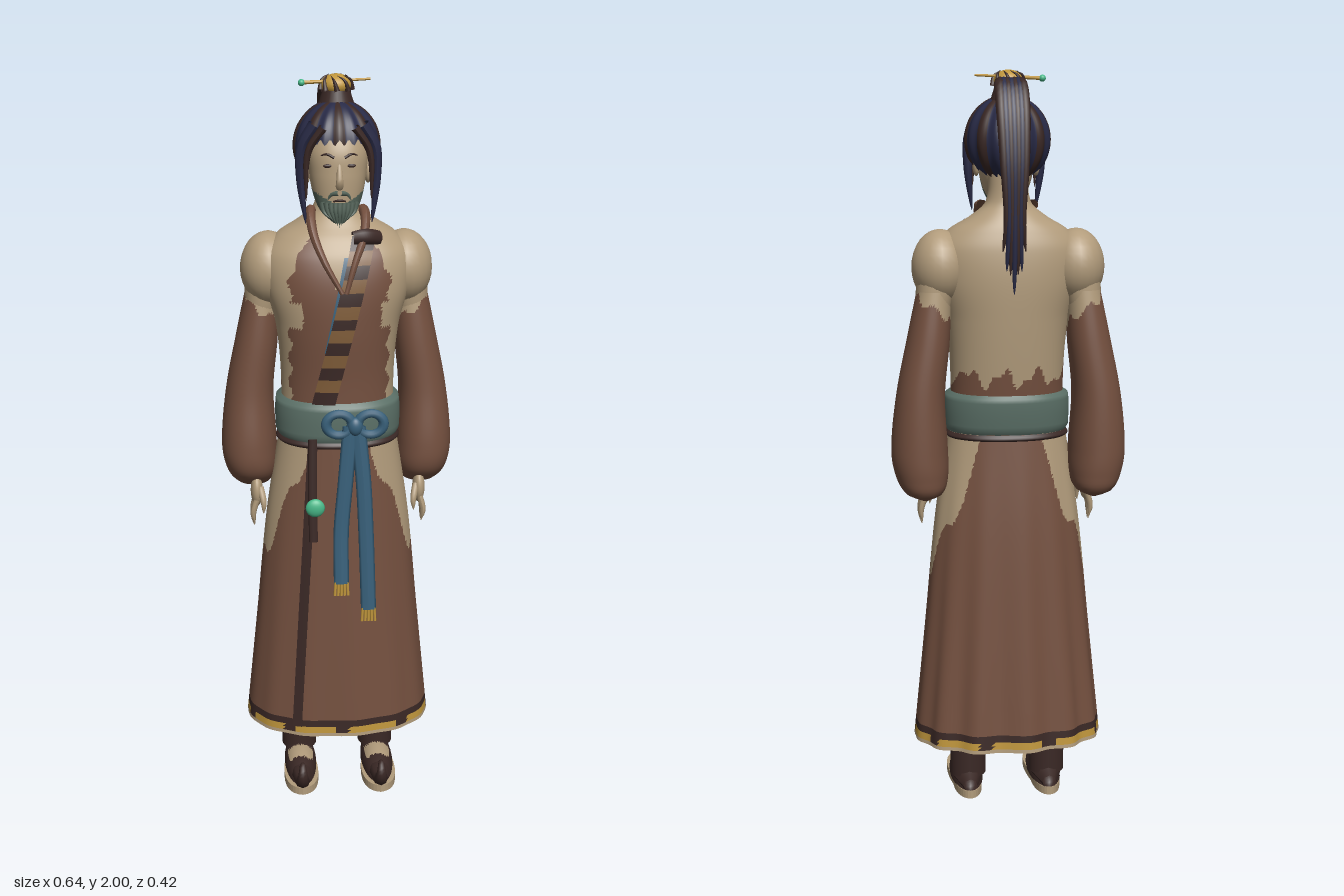
import * as THREE from 'three';

const colours = { robe: 0x74503f, skin: 0xb29c7c, hair: 0x282a46, dark: 0x3a2825, gold: 0xc0963c,
  belt: 0x5c7168, sash: 0x38607a, jade: 0x48b888, beard: 0x55655a, strap: 0x7f5c38 };
const M = {};
const E = 0.9, K = 2 / E; // roundness of every cross-section
const V = (x, y, z) => new THREE.Vector3(x, y, z);
const pw = (c) => Math.sign(c) * Math.abs(c) ** E;

// Smooth lookup in rows of [y, centreX, radiusX, centreZ, radiusZ]
function at(rows, y) {
  let i = 0;
  while (i < rows.length - 2 && y > rows[i + 1][0]) i++;
  const p = rows[i], q = rows[i + 1], h = q[0] - p[0], t = (y - p[0]) / h;
  const slope = (n, k) => {
    const a = rows[Math.max(0, n - 1)], b = rows[Math.min(rows.length - 1, n + 1)];
    return (b[k] - a[k]) / (b[0] - a[0]);
  };
  return [1, 2, 3, 4].map((k) => (1 + 2 * t) * (1 - t) ** 2 * p[k] + t * (1 - t) ** 2 * h * slope(i, k)
    + t * t * (3 - 2 * t) * q[k] + t * t * (t - 1) * h * slope(i + 1, k));
}
const frontZ = (rows, x, y) => {
  const [cx, rx, cz, rz] = at(rows, y);
  return cz + rz * Math.max(0, 1 - Math.abs((x - cx) / rx) ** K) ** (1 / K);
};

// Grid surface f(u, v); paint(centre) names the colour of each cell
function surface(name, f, nu, nv, paint, closed = true) {
  const cols = closed ? nu : nu + 1, pos = [], lists = {};
  for (let j = 0; j <= nv; j++) for (let i = 0; i < cols; i++) pos.push(...f(i / nu, j / nv));
  for (let j = 0; j < nv; j++) for (let i = 0; i < nu; i++) {
    const a = j * cols + i, b = j * cols + (i + 1) % cols, c = a + cols, d = b + cols;
    for (const t of [[a, c, b], [b, c, d]]) {
      const m = [0, 1, 2].map((k) => (pos[t[0] * 3 + k] + pos[t[1] * 3 + k] + pos[t[2] * 3 + k]) / 3);
      const key = typeof paint === 'string' ? paint : paint(...m, (i + 0.5) / nu, (j + 0.5) / nv);
      (lists[key] ??= []).push(...t);
    }
  }
  const g = new THREE.BufferGeometry(), index = [], mats = [];
  for (const key in lists) {
    g.addGroup(index.length, lists[key].length, mats.length);
    for (const n of lists[key]) index.push(n);
    mats.push(M[key]);
  }
  g.setAttribute('position', new THREE.Float32BufferAttribute(pos, 3));
  g.setIndex(index);
  g.computeVertexNormals();
  const mesh = new THREE.Mesh(g, mats);
  mesh.name = name;
  return mesh;
}

function loft(name, rows, nu, nv, paint, side = 1, fold = () => 1) {
  const y0 = rows[0][0], y1 = rows[rows.length - 1][0];
  return surface(name, (u, v) => {
    const y = y0 + (y1 - y0) * v, a = u * Math.PI * 2, [cx, rx, cz, rz] = at(rows, y), k = fold(a, y);
    return [cx * side + rx * pw(Math.cos(a)) * k, y, cz + rz * pw(Math.sin(a)) * k];
  }, nu, nv, paint);
}

// Tube with a radius that changes along its length
function taper(name, pts, radius, mat, seg = 16, flatX = 1) {
  const curve = new THREE.CatmullRomCurve3(pts.map((p) => V(...p)));
  const g = new THREE.TubeGeometry(curve, seg, 1, 8), p = g.attributes.position, v = V(0, 0, 0);
  for (let i = 0; i < p.count; i++) {
    const t = Math.floor(i / 9) / seg, c = curve.getPointAt(t);
    v.fromBufferAttribute(p, i).sub(c).multiplyScalar(radius(t));
    v.x *= flatX;
    p.setXYZ(i, c.x + v.x, c.y + v.y, c.z + v.z);
  }
  g.computeVertexNormals();
  const m = new THREE.Mesh(g, M[mat]);
  m.name = name;
  return m;
}
function ball(name, mat, p, r) {
  const m = new THREE.Mesh(new THREE.SphereGeometry(1, 24, 16), M[mat]);
  m.name = name; m.position.set(...p); m.scale.set(...r);
  return m;
}

const torsoRows = [[1.02, 0, .157, -.005, .115], [1.2, 0, .153, -.015, .125], [1.35, 0, .166, -.018, .135],
  [1.46, 0, .195, -.023, .135], [1.54, 0, .195, -.03, .122], [1.59, 0, .155, -.038, .1], [1.62, 0, .105, -.045, .08],
  [1.66, 0, .06, -.048, .056], [1.76, 0, .052, -.045, .05]];
const skirtRows = [[.17, 0, .262, -.02, .18], [.5, 0, .228, -.016, .157], [.8, 0, .198, -.012, .137], [1.05, 0, .16, -.005, .118]];
const sleeveRows = [[.865, .23, .01, -.08, .02], [.885, .232, .05, -.075, .07], [.93, .237, .071, -.058, .1], [1, .242, .076, -.055, .105],
  [1.15, .238, .065, -.062, .092], [1.3, .216, .057, -.062, .08], [1.43, .2, .045, -.062, .065]];
const headRows = [[1.635, 0, .015, .055, .015], [1.66, 0, .045, .035, .042], [1.7, 0, .064, .012, .066], [1.76, 0, .075, 0, .078],
  [1.82, 0, .078, -.01, .08], [1.9, 0, .05, -.02, .05]];

export function createModel() {
  for (const k in colours) { M[k] = new THREE.MeshStandardMaterial({ color: colours[k], side: THREE.DoubleSide }); M[k].name = k; }
  const model = new THREE.Group();
  model.name = 'robedMan';
  const add = (...m) => model.add(...m);

  // Torso with the worn upper robe
  add(loft('torso', torsoRows, 120, 84, (x, y, z) => {
    const w = Math.abs(x), jag = .02 * Math.sin(x * 70) + .012 * Math.sin(x * 151);
    if (z < -.01) return y < 1.2 + jag ? 'robe' : 'skin';
    if (y > 1.44 + Math.abs(x - .01) * 1.8 || y > 1.63) return 'skin';
    if (w > .145 && y > 1.17 + jag) return 'skin';
    if (w > .105 + jag * .4 && y > 1.36 && y < 1.43) return 'skin';
    return w < .13 - Math.max(0, y - 1.5) * .5 + .006 * Math.sin(y * 90) ? 'robe' : 'skin';
  }));
  // Pleated skirt with bare hips and a trimmed hem
  add(loft('skirt', skirtRows, 144, 90, (x, y, z) => {
    if (y < .178) return 'skin';
    const a = Math.atan2(z + .015, Math.abs(x) * .75);
    if (y < .2) return Math.sin(a * 9 + x * 4) > .75 ? 'dark' : 'gold';
    if (y < .218) return 'dark';
    return y > .66 + .36 * Math.abs(a / 1.05) ** 1.6 + .035 * Math.sin(a * 11) ? 'skin' : 'robe';
  }, 1, (a, y) => 1 + (Math.sin(a) > 0 ? .012 : .04) * Math.min(1, (1.05 - y) * 1.3) * Math.sin(a) * Math.cos(13 * a)));

  // Belt and its cord
  const beltRows = [[1.045, 0, .163, -.005, .121], [1.055, 0, .169, -.006, .127], [1.145, 0, .167, -.011, .132], [1.155, 0, .15, -.012, .122]];
  add(loft('belt', beltRows, 64, 10, 'belt'));
  add(loft('beltCord', [[1.025, 0, .16, -.005, .117], [1.033, 0, .169, -.006, .125], [1.045, 0, .16, -.005, .118]], 64, 6, 'dark'));

  // Thin strips that follow the front of the robe
  const strip = (name, rows, a, b, w, off, paint) => add(surface(name, (u, v) => {
    const y = a[1] + (b[1] - a[1]) * v, x = a[0] + (b[0] - a[0]) * v + (u - .5) * w;
    return [x, y, frontZ(rows, x, y) + off];
  }, 6, 64, paint, false));
  strip('chestStrap', torsoRows, [-.045, 1.155], [.065, 1.6], .062, .01,
    (x, y, z, u, v) => (Math.floor(v * 13) % 2 ? 'strap' : 'dark'));
  strip('strapEdge', torsoRows, [-.035, 1.3], [.018, 1.55], .014, .009, 'sash');
  strip('robeEdge', skirtRows, [-.125, .2], [-.075, 1.03], .026, .006, 'dark');
  add(taper('strapKnot', [[.035, 1.595, .068], [.065, 1.597, .064], [.105, 1.59, .045]], (t) => .018 + .004 * Math.sin(t * 3), 'dark'));

  // Bow with two hanging tails
  for (const x of [-.005, .08]) {
    const loop = new THREE.Mesh(new THREE.TorusGeometry(.03, .012, 10, 28), M.sash);
    loop.name = 'bowLoop'; loop.position.set(x, 1.105, .132); loop.scale.x = 1.15;
    add(loop);
  }
  add(ball('bowKnot', 'sash', [.038, 1.1, .136], [.02, .026, .017]));
  for (const [x0, x1, y1] of [[.025, 0, .65], [.045, .075, .57]]) {
    add(taper('sashTail', [[x0, 1.1, .135], [(x0 + x1) / 2, .95, .141], [x1 * .9, .8, .147], [x1, y1, .158]], () => .007, 'sash', 24, 3));
    for (let i = -2; i <= 2; i++) add(taper('tassel', [[x1 + i * .008, y1 + .005, .158], [x1 + i * .009, y1 - .035, .16]], () => .004, 'gold', 4));
  }
  // Waist pendant
  add(taper('pendantCord', [[-.075, 1.06, .122], [-.077, .9, .134], [-.075, .77, .142]], () => .005, 'dark', 16, 2.4));
  add(ball('pendantBead', 'jade', [-.07, .87, .142], [.026, .026, .014]));

  // Head; the beard is part of the jaw
  add(loft('head', headRows, 64, 48, (x, y, z) =>
    (z > .005 && y < 1.682 + Math.abs(x) * .5 && !(Math.abs(x) < .016 && y > 1.676) ? 'beard' : 'skin')));
  for (let i = -4; i <= 4; i++) {
    const x = i * .011, z = frontZ(headRows, x, 1.685);
    add(taper('beardLock', [[x, 1.69, z], [x * .9, 1.665, z + .006], [x * .45, 1.625 + Math.abs(i) * .006, .082]], (t) => .009 * (1 - t), 'beard', 8));
  }
  add(taper('nose', [[0, 1.795, .068], [0, 1.76, .081], [0, 1.738, .084], [0, 1.732, .074]], (t) => .005 + .006 * t, 'skin', 8));
  add(taper('mouth', [[-.016, 1.694, .074], [0, 1.697, .08], [.016, 1.694, .074]], () => .003, 'dark', 8));

  // Hair cap in alternating locks
  add(surface('hairCap', (u, v) => {
    const a = u * Math.PI * 2, d = Math.abs(Math.atan2(Math.cos(a), Math.sin(a)));
    const end = 1.3 + .13 * Math.sin(d * 14) ** 2 + .68 * THREE.MathUtils.smoothstep(d, .85, 1.3) + .4 * THREE.MathUtils.smoothstep(d, 1.5, 2.3);
    const phi = end * (1 - v), r = Math.sin(phi) * (1 + .025 * Math.cos(16 * a));
    return [.112 * r * Math.cos(a), 1.82 + .117 * Math.cos(phi), -.035 + .115 * r * Math.sin(a)];
  }, 128, 32, (x, y, z, u) => (Math.cos(u * Math.PI * 16) > .45 ? 'dark' : 'hair')));

  // Topknot, crown and hairpin
  const bun = new THREE.Mesh(new THREE.CylinderGeometry(.032, .048, .05, 24), M.dark);
  bun.name = 'topknot'; bun.position.set(0, 1.945, -.05);
  add(bun, ball('crown', 'gold', [0, 1.972, -.05], [.039, .028, .039]));
  for (let i = 0; i < 8; i++) {
    const ray = (t, r, y) => [r * Math.cos(t), y, -.05 + r * Math.sin(t)], t = i * Math.PI / 4;
    add(taper('crownClaw', [ray(t, .041, 1.96), ray(t + .2, .037, 1.985), ray(t + .7, .023, 1.997)], (k) => .007 * (1 - k) + .0005, 'dark', 8));
  }
  add(taper('hairpin', [[-.09, 1.978, -.047], [0, 1.982, -.047], [.088, 1.986, -.047]], (t) => .005 - .002 * t, 'gold', 8));
  add(ball('hairpinBead', 'jade', [-.09, 1.978, -.047], [.009, .009, .009]));

  // Ponytail of several strands
  for (let i = -3; i <= 3; i++) {
    const x = i * .009, low = 1.43 + Math.abs(i) * .03 + (i % 2 ? .02 : 0);
    add(taper('ponytailStrand', [[x * .8, 1.955, -.06], [x, 1.965, -.1], [x * 1.1, 1.91, -.15], [x, 1.78, -.188], [x * .8, 1.62, -.192], [x * 1.1, low, -.18]],
      (t) => .016 * (1 - t) ** .5 + .001, i % 2 ? 'dark' : 'hair', 28));
  }

  for (const s of [1, -1]) {
    // Face details
    add(ball('eye', 'dark', [s * .03, 1.785, frontZ(headRows, .03, 1.785)], [.012, .005, .004]));
    add(taper('eyebrow', [[s * .013, 1.805, .071], [s * .032, 1.814, .067], [s * .052, 1.806, .055]], (t) => .0045 - .003 * t, 'dark', 8));
    add(taper('moustache', [[s * .003, 1.716, .081], [s * .02, 1.712, .074], [s * .034, 1.685, .066]], (t) => .007 * (1 - t * .7), 'beard', 8));
    add(ball('ear', 'skin', [s * .08, 1.755, -.005], [.01, .03, .017]));
    add(taper('sideLock', [[s * .06, 1.885, .045], [s * .092, 1.83, .04], [s * .098, 1.75, .04], [s * .086, 1.63, .05]],
      (t) => .019 * (1 - t) ** .6, 'hair', 18));
    add(taper('thinLock', [[s * .04, 1.88, .06], [s * .078, 1.82, .052], [s * .085, 1.69, .055]], (t) => .012 * (1 - t) ** .6, 'dark', 14));
    // Collar
    add(taper('collar', [[.01 + s * .005, 1.46, .122], [s * .04, 1.54, .102], [s * .065, 1.6, .062], [s * .072, 1.645, .01], [s * .068, 1.65, -.03]],
      (t) => .006 + .009 * t, 'robe', 20));
    // Shoulder, arm and wide sleeve
    add(ball('shoulder', 'skin', [s * .182, 1.49, -.05], [.076, .1, .092]));
    add(loft('upperArm', [[1.25, .215, .04, -.06, .045], [1.38, .203, .046, -.06, .065], [1.5, .185, .06, -.055, .07]], 32, 12, 'skin', s));
    add(loft('sleeve', sleeveRows, 64, 60, (x, y, z) => {
      const a = Math.atan2(z + .06, x * s - .205);
      return y > 1.385 + .045 * Math.cos(a) + .012 * Math.sin(a * 7) ? 'skin' : 'robe';
    }, s));
    // Hand
    add(ball('palm', 'skin', [s * .225, .875, .015], [.017, .045, .03]));
    for (let i = 0; i < 4; i++) {
      const z = -.009 + i * .015;
      add(taper('finger', [[s * .226, .855, z], [s * .236, .815, z + .003], [s * .233, .775 + (i === 0 || i === 3 ? .012 : 0), z + .003]],
        (t) => .0085 * (1 - t ** 4 * .9), 'skin', 10));
    }
    add(taper('thumb', [[s * .215, .89, .03], [s * .207, .85, .05], [s * .208, .82, .052]], (t) => .009 * (1 - t ** 4 * .9), 'skin', 10));

    // Leg and curled shoe
    const leg = new THREE.Mesh(new THREE.CylinderGeometry(.052, .05, .55, 24), M.dark);
    leg.name = 'leg'; leg.position.set(s * .112, .325, -.025);
    add(leg);
    const outline = new THREE.Shape();
    outline.moveTo(0, -.19);
    outline.bezierCurveTo(.065, -.18, .05, -.06, .04, 0);
    outline.bezierCurveTo(.04, .14, -.04, .14, -.04, 0);
    outline.bezierCurveTo(-.05, -.06, -.065, -.18, 0, -.19);
    const sole = new THREE.Mesh(new THREE.ExtrudeGeometry(outline, { depth: .022, bevelEnabled: false, curveSegments: 16 }), M.skin);
    sole.name = 'sole'; sole.rotation.x = -Math.PI / 2; sole.position.x = s * .112;
    add(sole);
    add(surface('shoe', (u, v) => {
      const a = u * Math.PI * 2, c = Math.cos(v * Math.PI / 2);
      return [s * .112 + .046 * c * Math.cos(a), .02 + .05 * Math.sin(v * Math.PI / 2), .038 + .14 * c * Math.sin(a)];
    }, 40, 12, (x, y, z) => (y > .052 && z > .03 && z < .09 ? 'skin' : 'dark')));
    add(taper('heel', [[s * .112, .045, -.03], [s * .112, .04, -.06], [s * .112, .036, -.1]], (t) => .044 - .024 * t, 'dark', 8));
    add(taper('toeCurl', [[s * .112, .035, .13], [s * .112, .04, .18], [s * .112, .07, .203], [s * .112, .095, .192], [s * .112, .092, .175]],
      (t) => .024 * (1 - t) + .006, 'dark', 18));
  }
  return model;
}
